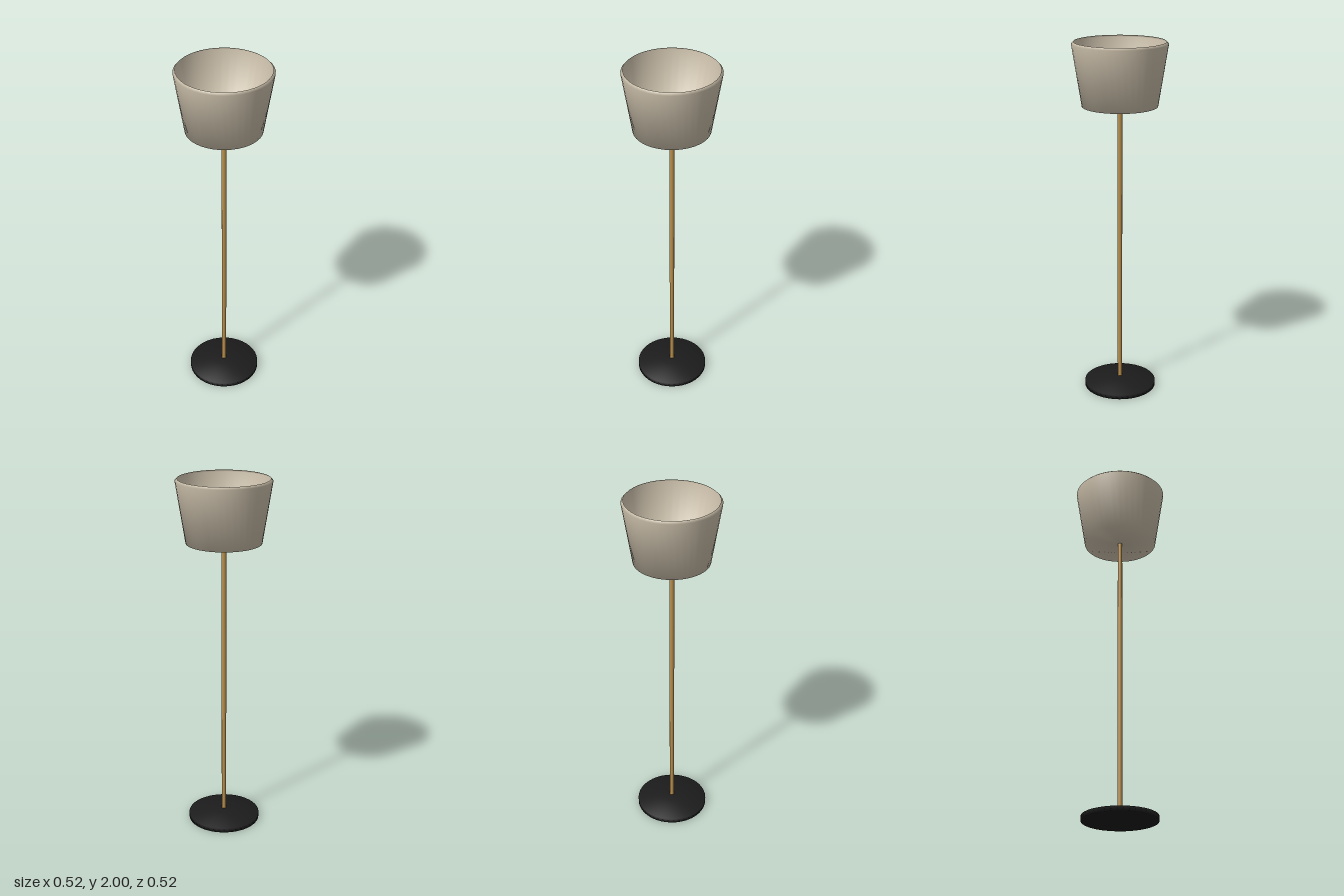
import * as THREE from 'three';

// Smooth turned part from [radius, height] points, listed bottom to top
function turned(name, points, material, sides) {
  const profile = points.map(([r, y]) => new THREE.Vector2(r, y));
  const mesh = new THREE.Mesh(new THREE.LatheGeometry(profile, sides), material);
  mesh.name = name;
  return mesh;
}

export function createModel() {
  const fabric = new THREE.MeshStandardMaterial({ color: 0xcfc3ae, side: THREE.DoubleSide });
  fabric.name = 'linen';
  const brass = new THREE.MeshStandardMaterial({ color: 0xb88f4e });
  brass.name = 'brass';
  const black = new THREE.MeshStandardMaterial({ color: 0x1c1c1c });
  black.name = 'black metal';

  const lamp = new THREE.Group();
  lamp.name = 'floorLamp';

  // Weighted foot with a shallow sloping top
  lamp.add(turned('base',
    [[0, 0], [0.204, 0], [0.204, 0.026], [0.065, 0.052], [0, 0.052]], black, 40));

  // Slim pole
  lamp.add(turned('pole',
    [[0, 0.04], [0.013, 0.04], [0.013, 1.66], [0, 1.66]], brass, 16));

  // Flared shade, closed below and open above, with a small turned-in rim
  lamp.add(turned('shade',
    [[0, 1.654], [0.206, 1.654], [0.259, 1.988], [0.247, 2]], fabric, 40));

  // Bulb standing on the shade floor
  const bulb = new THREE.Mesh(new THREE.SphereGeometry(0.035, 16, 12), fabric);
  bulb.name = 'bulb';
  bulb.position.y = 1.7;
  lamp.add(bulb);

  return lamp;
}
